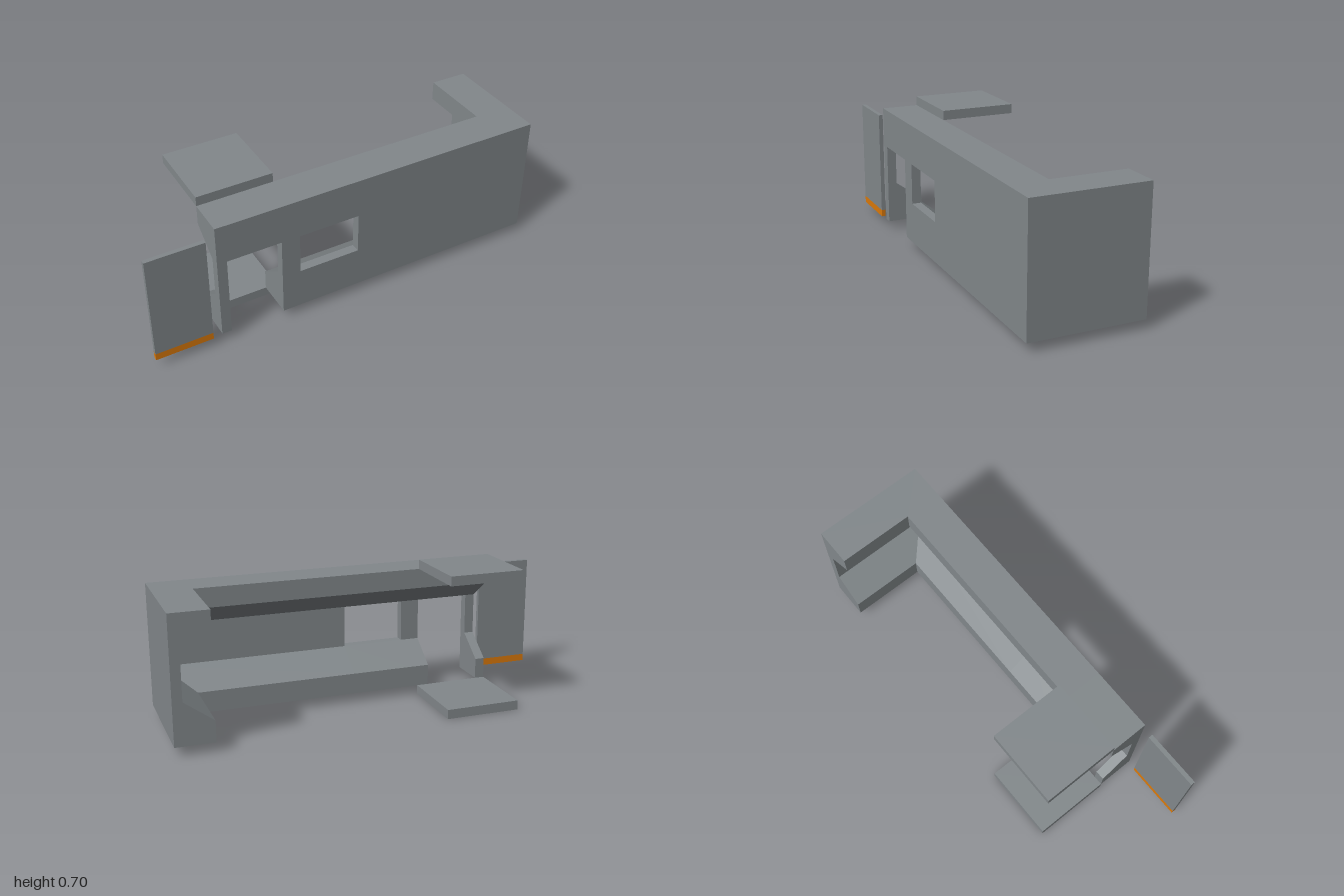
import * as THREE from 'three';

const U = 2 / 43;                 // panel thickness, the module everything follows
const OUT = 6 * U - 0.003;        // outer face of the front wall (z)
const BACK = -0.284;              // rear end of the return wall and plates
const D = 4 * U, T = U;           // full depth and thin-wall depth
const Y0 = U, Y1 = 0.251, Y2 = 0.455, Y3 = 14 * U;
const LOW = 0.149, HIGH = 0.555;  // where the plinth and the lip begin to slope

// Cross-sections as [depth from outer face, height], counter-clockwise
const lower = [[0, Y0], [D, Y0], [D, LOW], [T, Y1], [0, Y1]];
const upper = [[0, Y2], [T, Y2], [D, HIGH], [D, Y3], [0, Y3]];
const full = [...lower.slice(0, 4), ...upper.slice(1)];

// Prism between two placements of one cross-section, with flat faces
function prism(profile, placeA, placeB, capA = true, capB = true) {
  const a = profile.map(([d, y]) => placeA(d, y));
  const b = profile.map(([d, y]) => placeB(d, y));
  const pos = [];
  const tri = (...corners) => corners.forEach((c) => pos.push(...c));
  for (let i = 0; i < profile.length; i++) {
    const j = (i + 1) % profile.length;
    tri(a[i], a[j], b[j]);
    tri(a[i], b[j], b[i]);
  }
  const flat = profile.map(([d, y]) => new THREE.Vector2(d, y));
  for (const [i, j, k] of THREE.ShapeUtils.triangulateShape(flat, [])) {
    if (capA) tri(a[i], a[k], a[j]);
    if (capB) tri(b[i], b[j], b[k]);
  }
  const geometry = new THREE.BufferGeometry();
  geometry.setAttribute('position', new THREE.Float32BufferAttribute(pos, 3));
  geometry.computeVertexNormals();
  return geometry;
}

export function createModel() {
  const grey = new THREE.MeshStandardMaterial({ color: 0x82888b });
  grey.name = 'slate grey';
  const orange = new THREE.MeshStandardMaterial({ color: 0xdc7a0a });
  orange.name = 'orange';

  const model = new THREE.Group();
  model.name = 'wallModule';
  const add = (parent, name, geometry, material = grey) => {
    const mesh = new THREE.Mesh(geometry, material);
    mesh.name = name;
    parent.add(mesh);
  };
  const box = (parent, name, [x0, x1], [y0, y1], [z0, z1], material) => {
    const geometry = new THREE.BoxGeometry(x1 - x0, y1 - y0, z1 - z0);
    geometry.translate((x0 + x1) / 2, (y0 + y1) / 2, (z0 + z1) / 2);
    add(parent, name, geometry, material);
  };

  // Front wall, split around the doorway and the window
  const wall = new THREE.Group();
  wall.name = 'wall';
  model.add(wall);
  const at = (x) => (d, y) => [x, y, OUT - d];
  const mitre = (d, y) => [1 - d, y, OUT - d];
  const left = -1 + 7 * U, door0 = -0.627, door1 = -0.36, win0 = -0.268, win1 = 0.037;
  add(wall, 'doorPost', prism(full, at(left), at(door0)));
  add(wall, 'doorLintel', prism(upper, at(door0), at(door1)));
  add(wall, 'middlePost', prism(full, at(door1), at(win0)));
  add(wall, 'windowSill', prism(lower, at(win0), at(win1)));
  add(wall, 'windowLintel', prism(upper, at(win0), at(win1)));
  add(wall, 'frontWall', prism(full, at(win1), mitre, true, false));

  // Return wall running back from the mitred corner
  add(wall, 'returnWall', prism(full, mitre, (d, y) => [1 - d, y, BACK], false, true));

  // Floor and roof plates behind the doorway
  const plateX = [left, -1 + 15 * U], plateZ = [BACK, OUT - D];
  box(model, 'floorPlate', plateX, [0, Y0], plateZ);
  box(model, 'roofPlate', plateX, [Y3, 15 * U], plateZ);

  // Detached door panel with a coloured bottom edge
  const panel = new THREE.Group();
  panel.name = 'door';
  model.add(panel);
  const doorX = [-1, -1 + 6 * U], doorZ = [0.264, 0.285];
  box(panel, 'doorPanel', doorX, [0.082, 13 * U], doorZ);
  box(panel, 'doorBottomStrip', doorX, [Y0, 0.082], doorZ, orange);

  return model;
}
